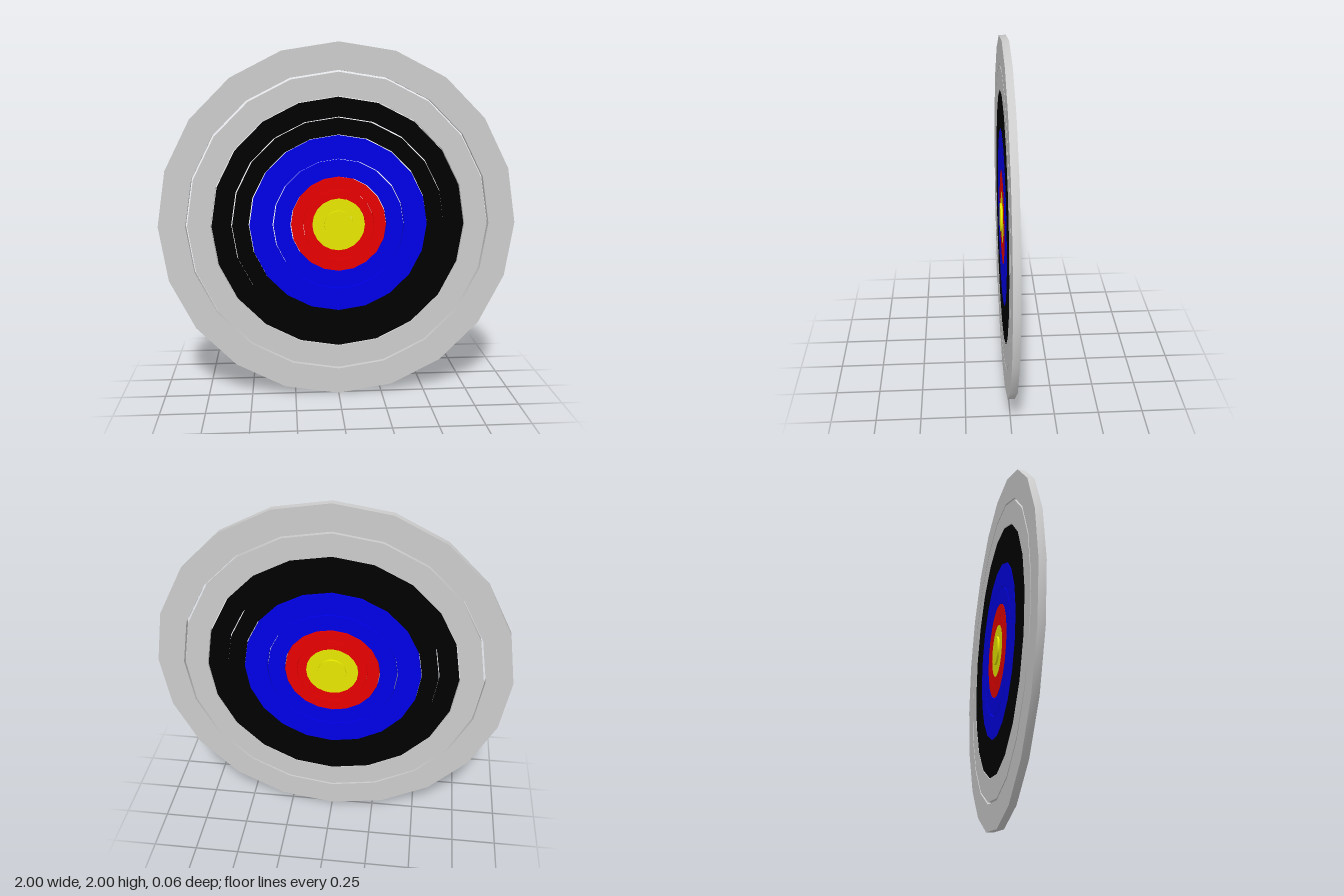
import * as THREE from 'three';
import { toCreasedNormals } from 'three/addons/utils/BufferGeometryUtils.js';

const SIDES = 20;

// Regular polygon outline, counter-clockwise, with a corner pointing straight up
function polygon(PathType, radius) {
  const points = [];
  for (let i = 0; i < SIDES; i++) {
    const a = (i / SIDES) * Math.PI * 2;
    points.push(new THREE.Vector2(-Math.sin(a) * radius, Math.cos(a) * radius));
  }
  return new PathType(points);
}

// Ring (or solid disc when inner is 0) centred on z = 0, with smooth rims and sharp edges
function plate(name, outer, inner, depth, material) {
  const shape = polygon(THREE.Shape, outer);
  if (inner > 0) shape.holes.push(polygon(THREE.Path, inner));
  const geometry = new THREE.ExtrudeGeometry(shape, { depth, bevelEnabled: false });
  geometry.translate(0, 0, -depth / 2);
  const mesh = new THREE.Mesh(toCreasedNormals(geometry, Math.PI / 6), material);
  mesh.name = name;
  return mesh;
}

export function createModel() {
  const model = new THREE.Group();
  model.name = 'target';

  const paint = (color) => new THREE.MeshStandardMaterial({ color });
  const grey = paint(0xcccccc);
  const black = paint(0x000000);
  const blue = paint(0x0000e6);
  const red = paint(0xe60000);
  const yellow = paint(0xe6e600);

  // Concentric scoring rings, separated by narrow gaps
  const rings = [
    ['outerGreyRing', 1.0, 0.85, grey],
    ['innerGreyRing', 0.84, 0.711, grey],
    ['outerBlackRing', 0.706, 0.6, black],
    ['innerBlackRing', 0.593, 0.503, black],
    ['outerBlueRing', 0.497, 0.37, blue],
    ['innerBlueRing', 0.364, 0.271, blue],
    ['outerRedRing', 0.266, 0.2, red],
    ['innerRedRing', 0.198, 0.148, red],
    ['yellowRing', 0.147, 0.081, yellow],
  ];
  for (const [name, outer, inner, material] of rings) {
    model.add(plate(name, outer, inner, 0.038, material));
  }

  // Bullseye stands proud on both faces
  model.add(plate('bullseye', 0.08, 0, 0.06, yellow));

  // Raise every part so the rim rests on the ground
  for (const part of model.children) part.position.y = 1;
  return model;
}
